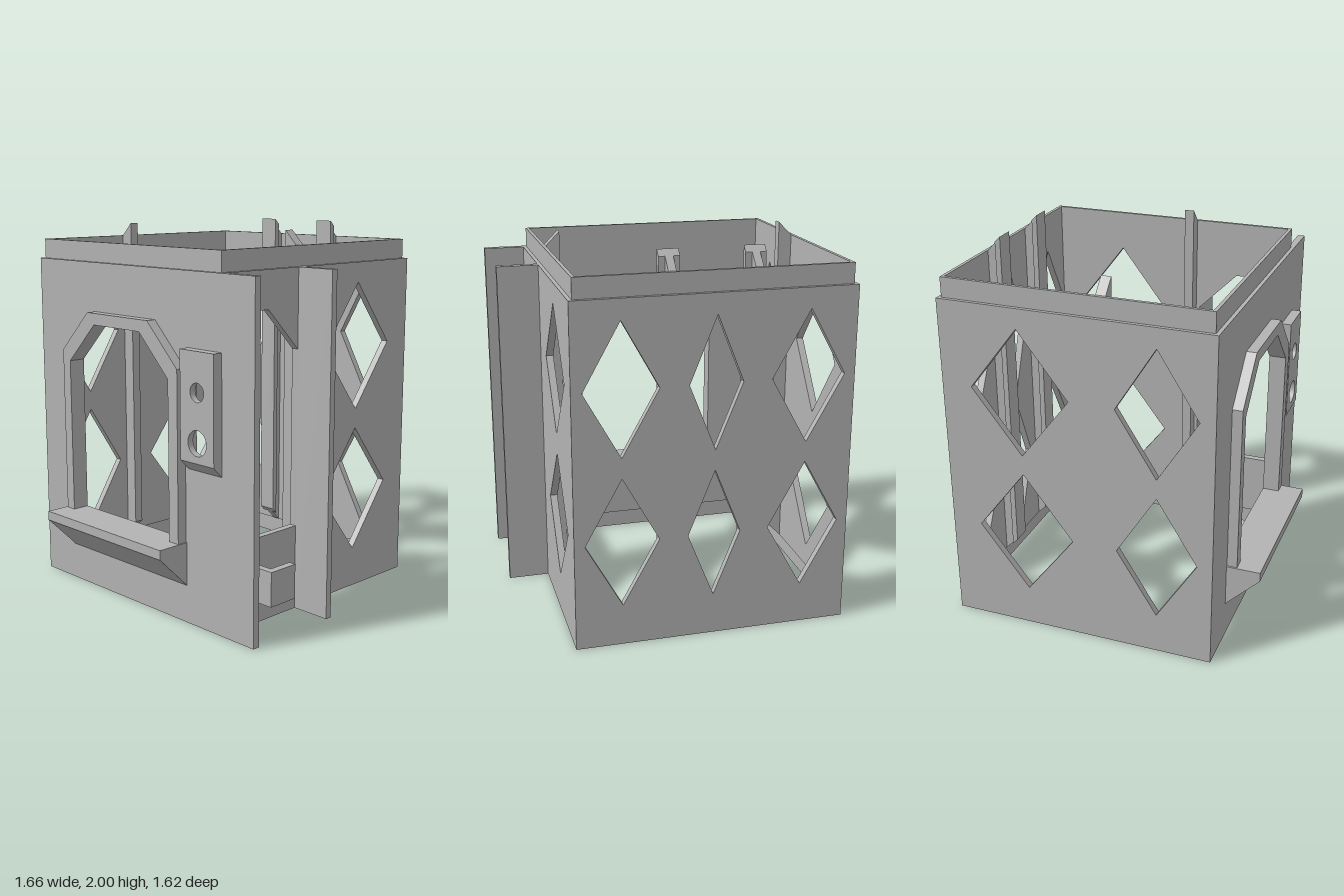
import * as THREE from 'three';

export function createModel() {
  const model = new THREE.Group();
  model.name = 'stackableTowerModule';
  const grey = new THREE.MeshStandardMaterial({ color: 0xb3b3b3 });
  grey.name = 'plainGrey';

  const add = (name, geometry) => {
    const mesh = new THREE.Mesh(geometry, grey);
    mesh.name = name;
    model.add(mesh);
    return mesh;
  };
  const path = (pts) => pts.map(([a, b]) => new THREE.Vector2(a, b));
  const extrude = (pts, holes, depth) => {
    const shape = new THREE.Shape(path(pts));
    for (const h of holes) shape.holes.push(Array.isArray(h) ? new THREE.Path(path(h)) : h);
    return new THREE.ExtrudeGeometry(shape, { depth, bevelEnabled: false, curveSegments: 24 });
  };
  // Outline in (x, y), thickness along z
  const alongZ = (name, pts, z0, z1, holes = []) =>
    add(name, extrude(pts, holes, z1 - z0).translate(0, 0, z0));
  // Outline in (z, y), thickness along x; mirrored outlines are reversed to stay counter-clockwise
  const flip = (pts) => pts.map(([a, b]) => [-a, b]).reverse();
  const alongX = (name, pts, x0, x1, holes = []) =>
    add(name, extrude(flip(pts), holes.map(flip), x1 - x0).rotateY(Math.PI / 2).translate(x0, 0, 0));
  // Outline in (x, z), thickness along y
  const neg = (pts) => pts.map(([a, b]) => [a, -b]).reverse();
  const alongY = (name, pts, y0, y1, holes = []) =>
    add(name, extrude(neg(pts), holes.map(neg), y1 - y0).rotateX(-Math.PI / 2).translate(0, y0, 0));

  const rect = (a0, b0, a1, b1) => [[a0, b0], [a1, b0], [a1, b1], [a0, b1]];
  const arch = (a0, a1, bottom, top, cut) => [
    [a1, bottom], [a1, top - cut], [a1 - cut, top], [a0 + cut, top], [a0, top - cut], [a0, bottom]];
  const diamonds = (c, w) => [0.563, 1.356].map((y) =>
    [[c - w, y], [c, y - 0.343], [c + w, y], [c, y + 0.343]]);
  const circle = (x, y, r) => new THREE.Path().absarc(x, y, r, 0, Math.PI * 2, true);

  // Main dimensions
  const X0 = -0.83, X1 = 0.61, Z0 = -0.812, Z1 = 0.631, T = 0.038, STEP = 0.1, H = 1.805, TOP = 1.91;
  const EAR = 0.83;
  const inset = (d) => rect(X0 + d, Z0 + d, X1 - d, Z1 - d);

  // Socket at the bottom and matching collar at the top
  alongY('bottomSocket', inset(0), 0, STEP, [inset(0.02)]);
  alongY('topCollar', inset(0.02), H, TOP, [inset(T)]);

  // Walls
  const windowHole = arch(-0.51, 0.285, 0.43, 1.483, 0.215);
  const pocket = rect(0.395, 0.885, 0.595, 1.41);
  alongZ('frontWall', rect(X0, STEP, EAR, H), Z1 - T, Z1, [windowHole, pocket]);
  alongZ('frontWallFoot', rect(X1, 0, EAR, STEP), Z1 - T, Z1);
  alongZ('backWall', rect(X0, STEP, X1, H), Z0, Z0 + T,
    [...diamonds(-0.585, 0.19), ...diamonds(-0.11, 0.137), ...diamonds(0.365, 0.19)]);
  const side = rect(Z0 + T, STEP, Z1 - T, H);
  alongX('rightSideWall', side, X0, X0 + T, [...diamonds(-0.386, 0.264), ...diamonds(0.335, 0.215)]);
  alongX('leftSideWall', [
    [Z0 + T, STEP], [Z1 - T, STEP], [Z1 - T, 0.455], [0.09, 0.455], [0.09, 1.39],
    [0.308, 1.608], [0.375, 1.608], [Z1 - T, 1.39], [Z1 - T, H], [Z0 + T, H],
  ], X1 - T, X1, diamonds(-0.386, 0.264));

  // Fin that closes the side bay
  alongX('sideFin', rect(0.054, 0, 0.09, H), X1, EAR);

  // Window frame and sloped sill
  alongZ('windowFrame', [...arch(-0.57, 0.353, 0.43, 1.545, 0.22), ...windowHole.slice().reverse()], Z1, 0.685);
  alongX('windowSill', [[Z1, 0.2], [0.812, 0.38], [0.812, 0.43], [Z1, 0.43]], -0.58, 0.358);

  // Raised plate, hollow behind, with two round holes and a bevel underneath
  alongZ('dialPlateRim', rect(0.375, 0.875, 0.612, 1.43), Z1, 0.65, [pocket]);
  alongZ('dialPlateFace', rect(0.375, 0.875, 0.612, 1.43), 0.65, 0.685,
    [circle(0.495, 1.228, 0.048), circle(0.495, 0.977, 0.065)]);
  alongX('dialPlateBevel', [[Z1, 0.82], [0.685, 0.875], [Z1, 0.875]], 0.375, 0.612);

  // Hook inside the side bay
  alongY('sideHook', [[X1, 0.408], [0.733, 0.408], [0.733, 0.27], [0.773, 0.27], [0.773, 0.447], [X1, 0.447]],
    0.147, 0.33);

  // Inner rails, both ends cut at 45 degrees
  const rail = (wall, dir, from, to) => [
    [wall + dir * from, STEP + from], [wall + dir * to, STEP + to],
    [wall + dir * to, TOP + to], [wall + dir * from, TOP + from]];
  alongZ('rightRail', rail(X0 + T, 1, 0, 0.073), 0.018, 0.07);
  alongZ('leftRail', rail(X1 - T, -1, 0, 0.073), 0.018, 0.07);
  for (const x of [-0.326, 0.106]) {
    alongX('backRailStem', rail(Z0 + T, 1, 0, 0.06), x - 0.02, x + 0.02);
    alongX('backRailFlange', rail(Z0 + T, 1, 0.06, 0.09), x - 0.053, x + 0.053);
  }
  return model;
}
